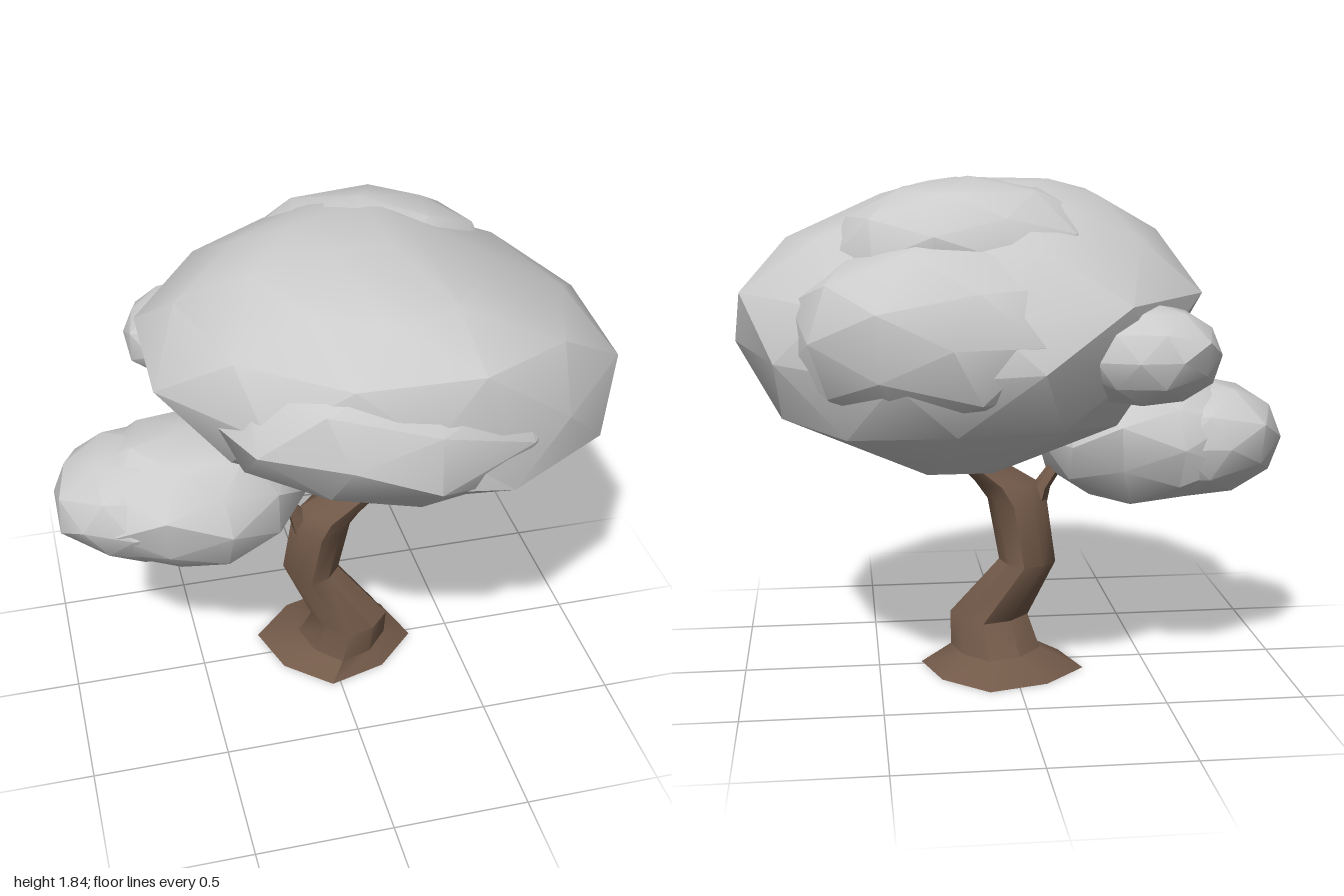
import * as THREE from 'three';
import { toCreasedNormals } from 'three/addons/utils/BufferGeometryUtils.js';
import { ConvexGeometry } from 'three/addons/geometries/ConvexGeometry.js';

const leaf = new THREE.MeshStandardMaterial({ color: 0xcccccc });
const bark = new THREE.MeshStandardMaterial({ color: 0x735a49 });

function mesh(name, geometry, material) {
  const m = new THREE.Mesh(geometry, material);
  m.name = name;
  return m;
}

// Uneven low-poly clump filling the box from min to max
function clump(name, min, max, seed) {
  const geo = new THREE.IcosahedronGeometry(1, 1);
  geo.rotateY(seed);
  const pos = geo.attributes.position;
  const v = new THREE.Vector3();
  for (let i = 0; i < pos.count; i++) {
    v.fromBufferAttribute(pos, i);
    v.multiplyScalar(1 + 0.04 * Math.sin(4 * v.x + seed) * Math.cos(5 * v.z - 3 * v.y + seed));
    pos.setXYZ(i, v.x, v.y, v.z);
  }
  geo.computeBoundingBox();
  const { min: lo, max: hi } = geo.boundingBox;
  const size = [0, 1, 2].map((k) => (max[k] - min[k]) / (hi.getComponent(k) - lo.getComponent(k)));
  geo.translate(-lo.x, -lo.y, -lo.z);
  geo.scale(...size);
  geo.translate(...min);
  return mesh(name, toCreasedNormals(geo, 0.55), leaf);
}

// Broad canopy: convex hull of uneven rings [y, xMin, xMax, zMin, zMax]
function canopy() {
  const rings = [
    [0.84, 0.0, 0.45, -0.47, 0.08],
    [1.0, -0.33, 0.83, -0.67, 0.42],
    [1.22, -0.57, 1.0, -0.74, 0.71],
    [1.42, -0.64, 0.97, -0.73, 0.75],
    [1.62, -0.53, 0.81, -0.55, 0.68],
    [1.76, -0.29, 0.46, -0.4, 0.52],
    [1.82, -0.12, 0.3, -0.28, 0.1],
  ];
  const points = [];
  rings.forEach(([y, x0, x1, z0, z1], i) => {
    const end = i === 0 || i === rings.length - 1;
    const sides = end ? 6 : 10;
    // staggered rings are widened so their corners still reach the given extents
    const widen = 1 / Math.cos(Math.PI / 10);
    const rx = ((x1 - x0) / 2) * (i % 2 ? widen : 1);
    const rz = ((z1 - z0) / 2) * (i % 2 ? 1 : widen);
    for (let j = 0; j < sides; j++) {
      const a = ((j + (i % 2) * 0.5) / sides) * Math.PI * 2;
      points.push(new THREE.Vector3(
        (x0 + x1) / 2 + rx * Math.cos(a),
        y + (end ? 0.008 : 0.02) * Math.sin(3 * a + i),
        (z0 + z1) / 2 + rz * Math.sin(a) + (end ? 0 : 0.08 * Math.cos(a))));
    }
  });
  return mesh('canopy', toCreasedNormals(new ConvexGeometry(points), 0.55), leaf);
}

// Fluted limb through horizontal rings [y, xMin, xMax, zMin, zMax], capped below
function limb(name, rings, sides) {
  const pos = [];
  const index = [];
  rings.forEach(([y, x0, x1, z0, z1], i) => {
    for (let j = 0; j < sides; j++) {
      const a = ((j + 0.3) / sides) * Math.PI * 2;
      const r = j % 2 ? 0.95 : 1.06;
      pos.push(
        (x0 + x1) / 2 + ((x1 - x0) / 2) * r * Math.cos(a), y,
        (z0 + z1) / 2 + ((z1 - z0) / 2) * r * Math.sin(a));
      if (i === rings.length - 1) continue;
      const k = (j + 1) % sides;
      const p = i * sides + j, q = i * sides + k;
      index.push(q, p, p + sides, q, p + sides, q + sides);
    }
  });
  for (let j = 1; j < sides - 1; j++) index.push(0, j, j + 1);
  const geo = new THREE.BufferGeometry();
  geo.setAttribute('position', new THREE.Float32BufferAttribute(pos, 3));
  geo.setIndex(index);
  return mesh(name, toCreasedNormals(geo, 0.68), bark);
}

export function createModel() {
  const tree = new THREE.Group();
  tree.name = 'tree';

  // Flared, crooked trunk leaning into the canopy
  tree.add(limb('trunk', [
    [0, -0.25, 0.33, -0.32, 0.23],
    [0.06, -0.1, 0.22, -0.17, 0.18],
    [0.18, -0.06, 0.22, -0.1, 0.18],
    [0.4, -0.16, 0.04, -0.13, 0.1],
    [0.63, -0.13, 0.08, -0.11, 0.13],
    [0.7, -0.1, 0.13, -0.09, 0.13],
    [0.86, 0.17, 0.29, -0.05, 0.11],
    [0.98, 0.26, 0.35, -0.04, 0.08],
  ], 8));

  // Thin side branch carrying the low clump
  tree.add(limb('sideBranch', [
    [0.58, -0.13, -0.04, -0.05, 0.05],
    [0.68, -0.15, -0.08, -0.04, 0.04],
    [0.76, -0.2, -0.14, -0.03, 0.03],
    [0.84, -0.28, -0.23, -0.02, 0.03],
  ], 6));

  // Canopy with overlapping lumps
  tree.add(canopy());
  tree.add(clump('frontLump', [-0.48, 1.04, -0.15], [0.78, 1.7, 0.78], 0.6));
  tree.add(clump('backLump', [-0.3, 0.95, -0.78], [0.8, 1.68, 0.1], 2.1));
  tree.add(clump('topLump', [-0.3, 1.3, -0.56], [0.65, 1.84, 0.06], 3.4));

  // Separate smaller clumps
  tree.add(clump('lowClumpOuter', [-1, 0.64, -0.31], [-0.3, 1.1, 0.28], 1.3));
  tree.add(clump('lowClumpInner', [-0.92, 0.61, -0.34], [-0.1, 1.14, 0.35], 0.2));
  tree.add(clump('rearClump', [-0.66, 1.07, -0.7], [-0.13, 1.43, -0.25], 4.5));

  return tree;
}
